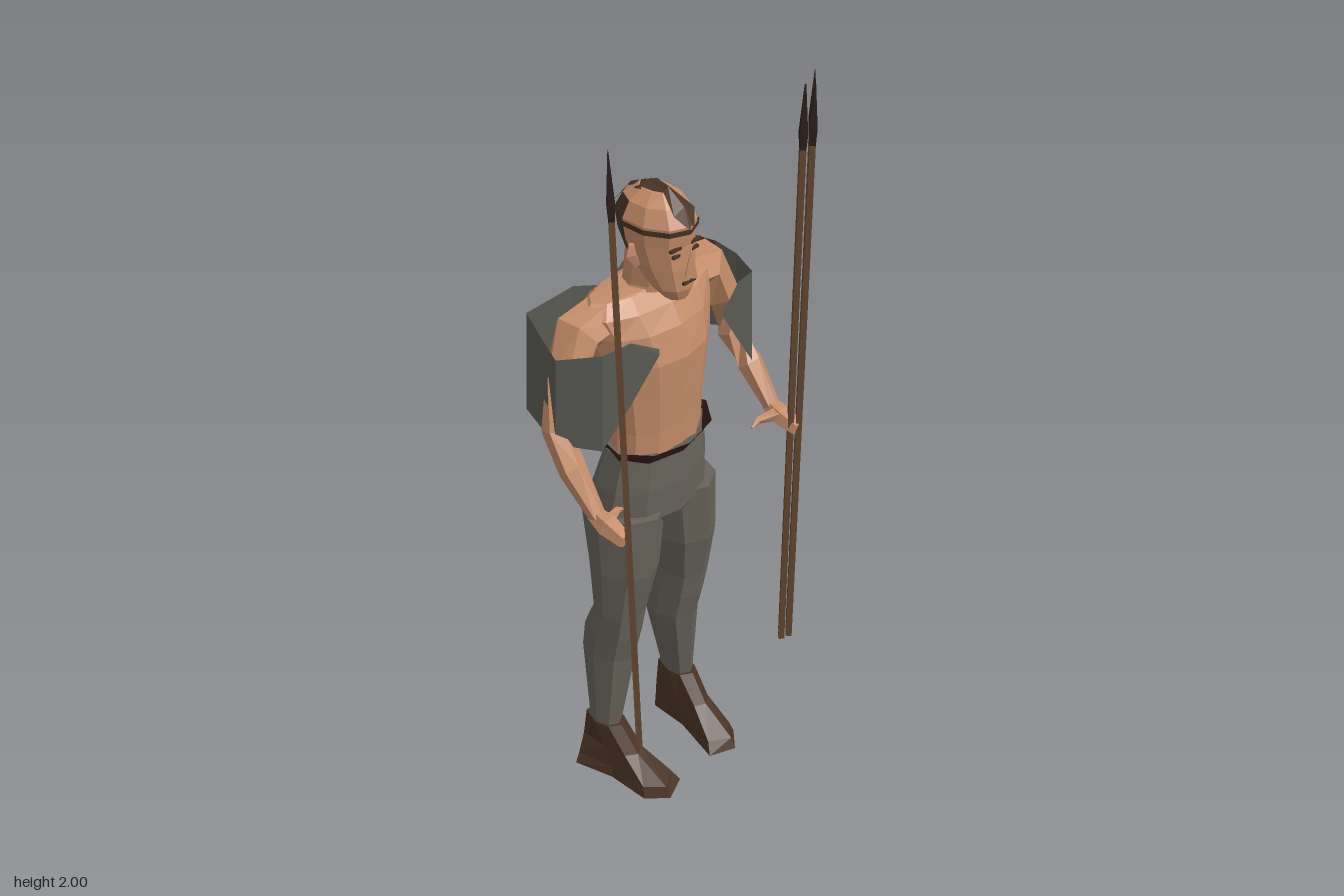
import * as THREE from 'three';

const mat = (name, color, side = THREE.FrontSide) => {
  const m = new THREE.MeshStandardMaterial({ color, side, flatShading: true });
  m.name = name;
  return m;
};

// Facets from a list of triangles, each a list of three Vector3
function facets(tris) {
  const g = new THREE.BufferGeometry().setFromPoints(tris.flat());
  g.computeVertexNormals();
  return g;
}

// Skin between rings of points; pick(row, side) keeps only some facets
function loft(rings, { caps = true, pick = () => true } = {}) {
  const tris = [], n = rings[0].length;
  for (let j = 0; j < rings.length - 1; j++) for (let i = 0; i < n; i++) {
    if (!pick(j, i)) continue;
    const k = (i + 1) % n, a = rings[j], b = rings[j + 1];
    tris.push([a[i], a[k], b[k]], [a[i], b[k], b[i]]);
  }
  if (caps) [rings[0], rings[rings.length - 1]].forEach((r, end) => {
    const c = r.reduce((s, p) => s.add(p), new THREE.Vector3()).divideScalar(n);
    r.forEach((p, i) => {
      const q = r[(i + 1) % n];
      tris.push(end ? [c, p, q] : [c, q, p]);
    });
  });
  return facets(tris);
}

// Horizontal oval rings, each [y, centre x, half width, back z, front z]
const ovals = (list, n) => list.map(([y, cx, rx, zb, zf]) =>
  Array.from({ length: n }, (_, i) => {
    const a = (i / n) * Math.PI * 2;
    return new THREE.Vector3(cx + rx * Math.sin(a), y, (zb + zf) / 2 + (zf - zb) / 2 * Math.cos(a));
  }));

// Tapered limb along nodes [x, y, z, radius]
function limb(nodes, n = 6) {
  const p = nodes.map(([x, y, z]) => new THREE.Vector3(x, y, z));
  const up = new THREE.Vector3(0, 1, 0);
  return loft(p.map((c, j) => {
    const dir = p[Math.min(j + 1, p.length - 1)].clone().sub(p[Math.max(j - 1, 0)]).normalize();
    const q = new THREE.Quaternion().setFromUnitVectors(up, dir);
    return Array.from({ length: n }, (_, i) => {
      const a = (i / n) * Math.PI * 2, r = nodes[j][3];
      return new THREE.Vector3(r * Math.sin(a), 0, r * Math.cos(a)).applyQuaternion(q).add(c);
    });
  }));
}

export function createModel() {
  const root = new THREE.Group();
  root.name = 'spearman';
  const skin = mat('skin', 0xc48c69);
  const hair = mat('hair', 0x4a3525, THREE.DoubleSide);
  const cloth = mat('trouserCloth', 0x67635a);
  const wool = mat('shawlWool', 0x5a5a54, THREE.DoubleSide);
  const patch = mat('shawlPatch', 0x4d382b, THREE.DoubleSide);
  const leather = mat('shoeLeather', 0x4a3325);
  const sash = mat('beltLeather', 0x361f1c, THREE.DoubleSide);
  const wood = mat('spearWood', 0x654631);
  const iron = mat('spearTip', 0x2b1e1c);

  const add = (name, geo, m, parent = root) => {
    const mesh = new THREE.Mesh(geo, m);
    mesh.name = name;
    parent.add(mesh);
    return mesh;
  };

  // Torso and neck
  add('torso', loft(ovals([
    [1.03, 0, 0.135, -0.11, 0.06], [1.12, 0, 0.135, -0.11, 0.065], [1.22, 0, 0.147, -0.13, 0.073],
    [1.32, 0, 0.163, -0.15, 0.08], [1.40, 0, 0.185, -0.16, 0.06], [1.45, 0, 0.2, -0.155, 0.03],
    [1.48, 0, 0.17, -0.125, -0.01], [1.485, 0, 0.07, -0.115, -0.005]], 12)), skin);
  add('neck', loft(ovals([
    [1.44, 0, 0.075, -0.13, 0.0], [1.49, 0, 0.058, -0.11, 0.01], [1.58, 0, 0.058, -0.1, 0.03]], 8)), skin);

  // Head, with darker facets behind the temples
  const head = new THREE.Group();
  head.name = 'head';
  root.add(head);
  const skull = ovals([
    [1.475, 0, 0.028, 0.01, 0.07], [1.505, 0, 0.05, -0.03, 0.082], [1.56, 0, 0.066, -0.095, 0.084],
    [1.62, 0, 0.075, -0.122, 0.08], [1.67, 0, 0.08, -0.13, 0.085], [1.71, 0, 0.062, -0.108, 0.06],
    [1.735, 0, 0.03, -0.07, 0.025]], 10);
  const isHair = (j, i) => (j >= 2 && j <= 4) && (i === 3 || i === 6);
  add('face', loft(skull, { pick: (j, i) => !isHair(j, i) }), skin, head);
  add('sideHair', loft(skull, { caps: false, pick: isHair }), hair, head);
  add('hairBand', loft(ovals([[1.652, 0, 0.082, -0.129, 0.087], [1.666, 0, 0.083, -0.132, 0.089]], 10),
    { caps: false, pick: (j, i) => i < 3 || i > 6 }), hair, head);

  // Crest of hair over the crown: [y, z, half width]
  const crest = [[1.675, 0.09, 0.008], [1.71, 0.066, 0.034], [1.745, 0.015, 0.014],
    [1.74, -0.05, 0.034], [1.716, -0.1, 0.016], [1.675, -0.133, 0.03]];
  const crestTris = [];
  for (let j = 0; j < crest.length - 1; j++) for (const s of [-1, 1]) {
    const [a, b] = [crest[j], crest[j + 1]];
    const mid = ([y, z]) => new THREE.Vector3(0, y + 0.004, z);
    const edge = ([y, z, w]) => new THREE.Vector3(s * w, y - 0.008, z);
    const quad = [mid(a), edge(a), edge(b), mid(b)];
    if (s < 0) quad.reverse();
    crestTris.push([quad[0], quad[1], quad[2]], [quad[0], quad[2], quad[3]]);
  }
  add('crestHair', facets(crestTris), hair, head);

  // Face details
  const nose = add('nose', new THREE.ConeGeometry(0.02, 0.07, 4), skin, head);
  nose.position.set(0, 1.58, 0.088);
  const plate = (name, x, y, z, w, h) =>
    add(name, new THREE.BoxGeometry(w, h, 0.008), hair, head).position.set(x, y, z);
  plate('mouth', 0, 1.527, 0.082, 0.04, 0.006);
  for (const s of [-1, 1]) {
    plate('eyebrow', s * 0.033, 1.618, 0.07, 0.034, 0.007);
    plate('eye', s * 0.031, 1.6, 0.07, 0.022, 0.007);
    add('ear', limb([[s * 0.07, 1.56, -0.015, 0.008], [s * 0.08, 1.59, -0.025, 0.016],
      [s * 0.078, 1.615, -0.025, 0.008]], 4), skin, head);
  }

  // Arms, hands, legs and shoes
  for (const s of [-1, 1]) {
    const side = s > 0 ? 'left' : 'right';
    add(side + 'Arm', limb([[s * 0.13, 1.425, -0.07, 0.06], [s * 0.215, 1.42, -0.07, 0.062],
      [s * 0.27, 1.32, -0.06, 0.048], [s * 0.305, 1.2, -0.055, 0.036],
      [s * 0.315, 1.12, 0.005, 0.034], [s * 0.314, 1.02, 0.085, 0.021]]), skin);
    add(side + 'Hand', limb([[s * 0.314, 1.025, 0.07, 0.02], [s * 0.312, 1.01, 0.115, 0.029],
      [s * 0.312, 0.995, 0.172, 0.021]], 5), skin);
    add(side + 'Thumb', limb([[s * 0.305, 1.02, 0.115, 0.018], [s * 0.255, 1.01, 0.09, 0.01],
      [s * 0.23, 1.0, 0.09, 0.004]], 4), skin);
    add(side + 'TrouserLeg', loft(ovals([
      [0.155, s * 0.141, 0.035, -0.125, -0.03], [0.4, s * 0.118, 0.062, -0.16, 0.0],
      [0.48, s * 0.118, 0.064, -0.15, 0.02], [0.56, s * 0.118, 0.066, -0.11, 0.03],
      [0.7, s * 0.106, 0.082, -0.13, 0.06], [0.88, s * 0.093, 0.092, -0.17, 0.07]], 8)), cloth);
    add(side + 'Ankle', limb([[s * 0.141, 0.1, -0.08, 0.03], [s * 0.141, 0.2, -0.085, 0.03]]), skin);
    // Shoe outlines by height, as [x, z] from the toe round the outside
    const soles = [
      [0, [[0.13, 0.15], [0.18, 0.1], [0.18, -0.02], [0.208, -0.13], [0.105, -0.13], [0.1, -0.02], [0.06, 0.12]]],
      [0.03, [[0.13, 0.135], [0.172, 0.09], [0.175, -0.02], [0.195, -0.13], [0.108, -0.13], [0.1, -0.02], [0.075, 0.1]]],
      [0.09, [[0.135, 0.035], [0.165, 0.015], [0.175, -0.05], [0.175, -0.13], [0.112, -0.13], [0.102, -0.05], [0.105, 0.02]]],
      [0.165, [[0.141, -0.02], [0.17, -0.04], [0.18, -0.08], [0.162, -0.13], [0.12, -0.13], [0.104, -0.08], [0.11, -0.04]]]];
    add(side + 'Shoe', loft(soles.map(([y, pts]) => {
      const ring = pts.map(([x, z]) => new THREE.Vector3(s * x, y, z));
      return s > 0 ? ring : ring.reverse();
    })), leather);
  }

  // Trouser seat and belt
  add('trouserSeat', loft(ovals([[0.8, 0, 0.08, -0.11, 0.03], [0.86, 0, 0.183, -0.18, 0.065],
    [0.95, 0, 0.172, -0.15, 0.068], [1.06, 0, 0.15, -0.115, 0.062]], 10)), cloth);
  add('belt', loft(ovals([[1.04, 0, 0.145, -0.118, 0.068], [1.062, 0, 0.155, -0.128, 0.082],
    [1.078, 0, 0.16, -0.135, 0.095]], 9), { caps: false }), sash);

  // Shawl wrapped behind the back and over both arms: [x, z, bottom y, top y]
  const wrap = [[-0.11, 0.092, 1.38, 1.395], [-0.19, 0.075, 1.27, 1.44], [-0.265, 0.055, 1.17, 1.43],
    [-0.33, -0.035, 1.18, 1.41], [-0.3, -0.12, 1.18, 1.43], [-0.265, -0.2, 1.17, 1.44],
    [-0.09, -0.218, 1.17, 1.43], [0, -0.185, 1.18, 1.41], [0.09, -0.218, 1.17, 1.43],
    [0.21, -0.222, 1.17, 1.44], [0.28, -0.19, 1.17, 1.44], [0.315, -0.11, 1.18, 1.43],
    [0.33, -0.055, 1.18, 1.41], [0.265, 0.055, 1.17, 1.43], [0.19, 0.075, 1.27, 1.44], [0.11, 0.095, 1.38, 1.395]];
  const shawlTris = [], patchTris = [];
  for (let i = 0; i < wrap.length - 1; i++) {
    const low = ([x, z, y]) => new THREE.Vector3(x, y, z);
    const high = ([x, z, , y]) => new THREE.Vector3(x * 0.97, y, z * 0.97);
    const [a, b] = [wrap[i], wrap[i + 1]];
    shawlTris.push([low(a), high(b), low(b)]);
    (i === 9 || i === 10 ? patchTris : shawlTris).push([low(a), high(a), high(b)]);
  }
  // Corners run the other way round so that the outside faces out
  const flip = t => t.map(([a, b, c]) => [a, c, b]);
  add('shawl', facets(flip(shawlTris)), wool);
  add('shawlPatch', facets(flip(patchTris)), patch);

  // Spears: one in the right hand, a bundle of four in the left
  const spear = (name, x, y0, z0, y1, z1) => {
    const g = new THREE.Group();
    g.name = name;
    root.add(g);
    const at = (t, r) => [x, y0 + (y1 - y0) * t, z0 + (z1 - z0) * t, r];
    add('shaft', limb([at(0, 0.011), at(0.9, 0.01)], 4), wood, g);
    add('tip', limb([at(0.895, 0.009), at(0.925, 0.013), at(1, 0.001)], 4), iron, g);
  };
  spear('rightSpear', -0.31, 0.36, 0.21, 2, 0.135);
  for (let i = 0; i < 4; i++) {
    const a = (i * Math.PI) / 2;
    spear('leftSpear', 0.317 + 0.015 * Math.cos(a), 0.3 + 0.008 * (i % 2),
      0.157 + 0.013 * Math.sin(a), 1.965 - 0.012 * i, 0.157 + 0.015 * Math.sin(a));
  }
  return root;
}
